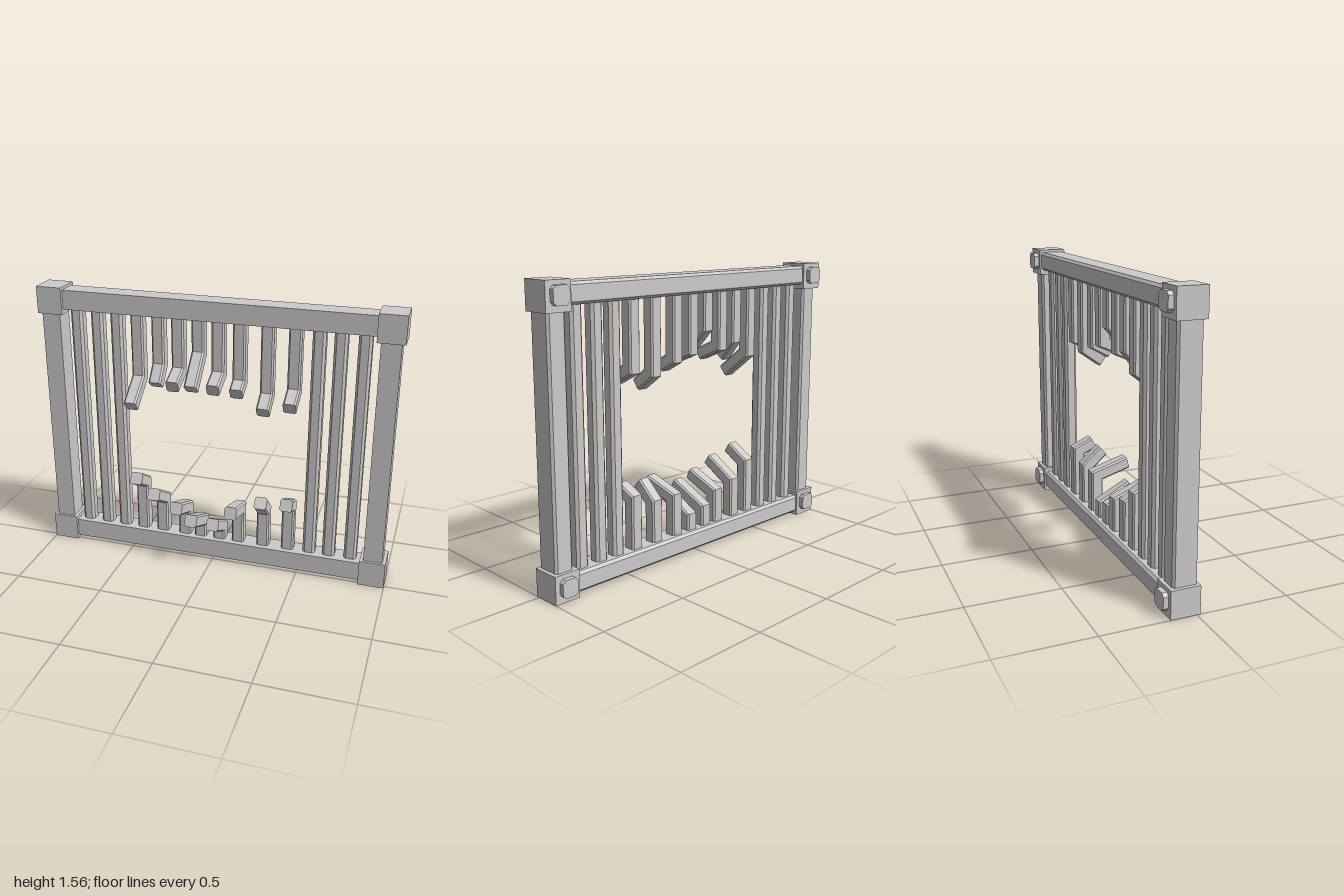
import * as THREE from 'three';

const material = new THREE.MeshStandardMaterial({ color: 0xcccccc, flatShading: true });

// Bar section as [x, depth behind the front face], with chamfered front and back corners
function section(w, t, front, back) {
  const h = w / 2;
  return [
    [h - front, 0], [h, front], [h, t - back], [h - back, t],
    [back - h, t], [-h, t - back], [-h, front], [front - h, 0],
  ];
}

// Skin a stack of rings (bottom to top) and cap both ends
function loft(rings) {
  const pos = [];
  const tri = (a, b, c) => pos.push(...a, ...b, ...c);
  const n = rings[0].length;
  for (let r = 0; r < rings.length - 1; r++) {
    for (let i = 0; i < n; i++) {
      const j = (i + 1) % n;
      const lo = rings[r], hi = rings[r + 1];
      tri(lo[i], lo[j], hi[j]);
      tri(lo[i], hi[j], hi[i]);
    }
  }
  const bottom = rings[0], top = rings[rings.length - 1];
  for (let i = 1; i < n - 1; i++) {
    tri(bottom[0], bottom[i + 1], bottom[i]);
    tri(top[0], top[i], top[i + 1]);
  }
  const g = new THREE.BufferGeometry();
  g.setAttribute('position', new THREE.Float32BufferAttribute(pos, 3));
  g.computeVertexNormals();
  return g;
}

// Straight upright bar with its front face at zFront
function straightBar(sec, y0, y1, zFront) {
  return loft([y0, y1].map(y => sec.map(([x, s]) => [x, y, zFront - s])));
}

// Bar rooted at yRoot, mitred at the bend and pushed forward to its tip
function bentBar(sec, yRoot, yBend, yTip, zTip, zFront, dir) {
  const dz = zTip - zFront;
  const angle = Math.atan2(dz, Math.abs(yTip - yBend));
  const miter = Math.tan(angle / 2);
  const rings = [
    sec.map(([x, s]) => [x, yRoot, zFront - s]),
    sec.map(([x, s]) => [x, yBend + dir * s * miter, zFront - s]),
    sec.map(([x, s]) => [x, yTip + dir * s * Math.sin(angle), zTip - s * Math.cos(angle)]),
  ];
  return loft(dir > 0 ? rings : rings.reverse());
}

export function createModel() {
  const model = new THREE.Group();
  const add = (name, geometry, x = 0, y = 0, z = 0) => {
    const mesh = new THREE.Mesh(geometry, material);
    mesh.name = name;
    mesh.position.set(x, y, z);
    model.add(mesh);
    return mesh;
  };

  // Frame: two posts and two rails, bevelled along the back
  const postSection = section(0.105, 0.125, 0, 0.012);
  for (const side of [-1, 1]) {
    add(side > 0 ? 'leftPost' : 'rightPost', straightBar(postSection, 0.1, 1.47, 0.005), side * 0.928);
  }
  const railSection = section(0.108, 0.132, 0, 0.014);
  for (const [name, y] of [['topRail', 1.494], ['bottomRail', 0.073]]) {
    add(name, straightBar(railSection, -0.92, 0.92, 0.003), 0, y).rotation.z = -Math.PI / 2;
  }

  // Corner blocks with a chamfered bolt head on the back
  const block = new THREE.BoxGeometry(0.145, 0.15, 0.158);
  const c = 0.03, h = 0.047;
  const outline = new THREE.Shape([
    [h, c], [c, h], [-c, h], [-h, c], [-h, -c], [-c, -h], [c, -h], [h, -c],
  ].map(p => new THREE.Vector2(...p)));
  const bolt = new THREE.ExtrudeGeometry(outline, { depth: 0.045, bevelEnabled: false });
  for (const x of [-0.9275, 0.9275]) {
    for (const y of [0.076, 1.488]) {
      add('cornerBlock', block, x, y, -0.059);
      add('boltHead', bolt, x, y + 0.005, -0.165);
    }
  }

  // Whole bars on either side of the breach
  const zFront = -0.028;
  const wholeSection = section(0.07, 0.07, 0.014, 0.014);
  for (const x of [-0.795, -0.675, -0.56, 0.56, 0.672, 0.795]) {
    add('wholeBar', straightBar(wholeSection, 0.1, 1.46, zFront), x);
  }

  // Broken bars: [x, bend height, tip height, tip z]
  const brokenSection = section(0.07, 0.07, 0.009, 0.009);
  const upper = [
    [-0.44, 1.09, 0.978, 0.113], [-0.32, 1.17, 1.083, 0.04],
    [-0.207, 1.16, 1.112, 0.08], [-0.092, 1.26, 1.112, 0.115],
    [0.02, 1.16, 1.115, 0.075], [0.137, 1.125, 1.09, 0.035],
    [0.29, 1.065, 1.005, 0.055], [0.437, 1.105, 1.055, 0.068],
  ];
  const lower = [
    [-0.44, 0.4, 0.46, 0.07], [-0.318, 0.31, 0.4, 0.12],
    [-0.18, 0.27, 0.335, 0.13], [-0.083, 0.2, 0.288, 0.163],
    [0.03, 0.18, 0.257, 0.117], [0.142, 0.31, 0.36, 0.138],
    [0.29, 0.33, 0.408, 0.058], [0.435, 0.375, 0.408, 0.045],
  ];
  for (const [x, bend, tip, z] of upper) {
    add('upperBrokenBar', bentBar(brokenSection, 1.46, bend, tip, z, zFront, -1), x);
  }
  for (const [x, bend, tip, z] of lower) {
    add('lowerBrokenBar', bentBar(brokenSection, 0.1, bend, tip, z, zFront, 1), x);
  }

  return model;
}
